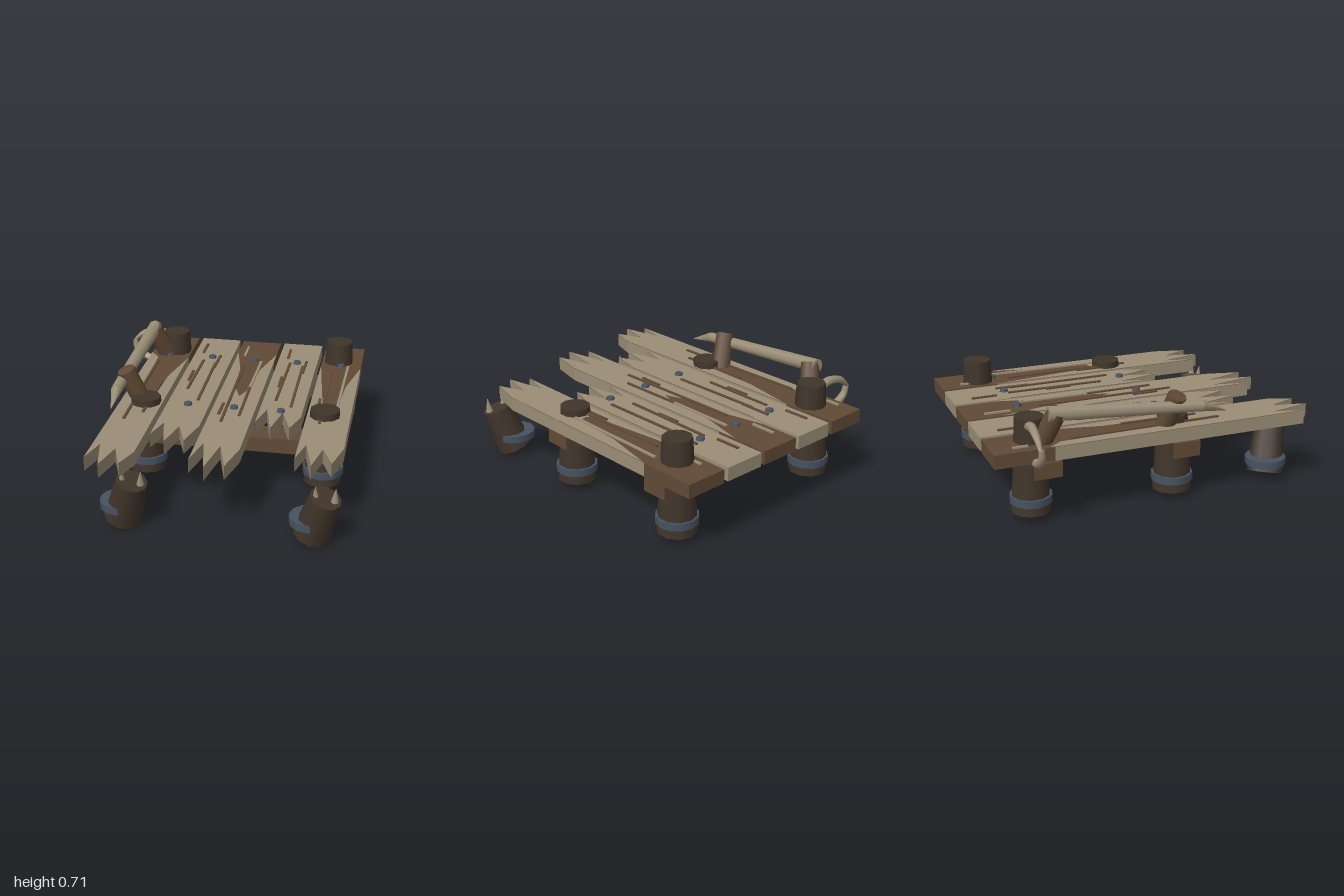
import * as THREE from 'three';

const mat = (name, color) => new THREE.MeshStandardMaterial({ name, color });

export function createModel() {
  const tan = mat('weathered wood', 0x9b8e76);
  const brown = mat('brown wood', 0x614a36);
  const dark = mat('dark timber', 0x40352a);
  const iron = mat('dull iron', 0x465361);
  const root = new THREE.Group();
  root.name = 'brokenDock';

  const add = (name, geo, material, x = 0, y = 0, z = 0) => {
    const m = new THREE.Mesh(geo, material);
    m.name = name;
    m.position.set(x, y, z);
    root.add(m);
    return m;
  };
  // tapered round timber between two points
  const limb = (name, a, b, ra, rb, material, sides = 10) => {
    const A = new THREE.Vector3(...a), B = new THREE.Vector3(...b);
    const d = B.clone().sub(A);
    const m = add(name, new THREE.CylinderGeometry(rb, ra, d.length(), sides), material);
    m.position.copy(A).add(B).multiplyScalar(0.5);
    m.quaternion.setFromUnitVectors(new THREE.Vector3(0, 1, 0), d.normalize());
    return m;
  };
  // flat outline drawn in x and z
  const outline = pts => new THREE.Shape(pts.map(([x, z]) => new THREE.Vector2(x, -z)));

  // Planks: left edge, splintered front end as [offset, z], brown wedge on the top
  const W = 0.26, BOT = 0.375, TOP = 0.457, SPLIT = -0.65;
  const toothX = [0, 0.045, 0.1, 0.145, 0.21, W];
  const planks = [
    { x: -0.63, ends: [0.915, 0.74, 0.985, 0.78, 0.95, 0.80],
      wedge: [[0, -0.68], [0.06, -0.6], [0.08, -0.1], [0.12, 0.2], [0.18, 0.22], [0.2, -0.3], [W, -0.62]] },
    { x: -0.34, ends: [0.565, 0.40, 0.64, 0.43, 0.61, 0.40] },
    { x: -0.055, ends: [0.835, 0.62, 0.915, 0.64, 0.88, 0.66],
      wedge: [[0, -0.78], [0.06, -0.5], [0.08, -0.2], [0.13, -0.06], [0.16, -0.15], [0.19, -0.5], [W, -0.78]] },
    { x: 0.23, ends: [0.29, 0.10, 0.36, 0.13, 0.34, 0.18] },
    { x: 0.52, ends: [0.72, 0.54, 0.79, 0.58, 0.75, 0.55],
      wedge: [[0, -0.65], [0.03, -0.4], [0.08, 0], [0.12, 0.02], [0.17, 0], [0.19, -0.32], [W, -0.65]] },
  ];
  planks.forEach(({ x, ends, wedge }, i) => {
    const front = ends.map((z, k) => [x + toothX[k], z]);
    const body = new THREE.ExtrudeGeometry(
      outline([[x, SPLIT], ...front, [x + W, SPLIT]]),
      { depth: TOP - BOT, bevelEnabled: false });
    body.rotateX(-Math.PI / 2);
    add('plank' + (i + 1), body, [brown, tan], 0, BOT, 0);

    // sound rear end of the plank
    const rear = wedge ? brown : tan;
    add('plankRear' + (i + 1), new THREE.BoxGeometry(W, TOP - BOT, 1 + SPLIT),
      [rear, rear, rear, brown, rear, rear], x + W / 2, (TOP + BOT) / 2, (SPLIT - 1) / 2);

    // bleached top face, cut around the brown wedge
    const back = wedge ? wedge.map(([o, z]) => [x + o, z]) : [[x, -1], [x + W, -1]];
    const face = new THREE.ShapeGeometry(outline([...front, ...back.reverse()]));
    face.rotateX(-Math.PI / 2);
    add('plankTop' + (i + 1), face, tan, 0, 0.46, 0).material.side;
  });
  tan.side = THREE.DoubleSide;

  // Raised splinters along the grain: x, z start, z end, material
  [
    [-0.575, -0.88, -0.79, tan], [-0.548, -0.53, 0.39, brown], [-0.45, -0.19, 0.28, brown],
    [-0.285, -0.88, -0.72, brown], [-0.26, -0.59, -0.11, brown], [-0.285, -0.4, -0.24, brown],
    [-0.163, -0.69, -0.48, brown], [-0.167, -0.55, 0.05, brown],
    [0, -0.88, -0.72, tan], [0.027, -0.53, 0.33, brown], [0.122, -0.63, -0.19, tan],
    [0.122, -0.19, 0.23, brown], [0, 0.07, 0.23, brown],
    [0.29, -0.88, -0.72, brown], [0.312, -0.64, -0.03, brown], [0.295, -0.4, -0.24, brown],
    [0.418, -0.69, -0.48, brown], [0.408, -0.6, 0.05, brown],
    [0.575, -0.88, -0.72, tan], [0.602, -0.56, 0.25, brown], [0.693, -0.65, 0.05, tan], [0.575, -0.1, 0.1, brown],
  ].forEach(([x, z0, z1, m], i) => {
    const s = add('splinter' + (i + 1), new THREE.BoxGeometry(0.016, 0.01, z1 - z0), m, x, 0.464, (z0 + z1) / 2);
    s.rotation.y = (i % 2 ? 1 : -1) * 0.012;
  });

  // Bolts
  for (const z of [-0.655, 0.12])
    for (const { x } of planks)
      add('bolt', new THREE.CylinderGeometry(0.024, 0.028, 0.02, 6), iron, x + 0.13, 0.466, z);

  // Cross beams
  for (const z of [-0.675, 0.175])
    add('crossBeam', new THREE.BoxGeometry(1.31, 0.095, 0.165), brown, 0.075, 0.2975, z);

  for (const x of [-0.47, 0.627]) {
    // Standing posts with iron bands
    limb('backPost', [x, 0.03, -0.75], [x, 0.6, -0.75], 0.118, 0.086, dark);
    limb('frontPost', [x, 0.03, 0.125], [x, 0.5, 0.125], 0.118, 0.09, dark);
    for (const z of [-0.75, 0.125, 0.755])
      add('ironBand', new THREE.CylinderGeometry(0.125, 0.125, 0.045, 12), iron, x, 0.108, z);

    // Snapped, leaning post with splintered tips
    limb('brokenPost', [x + 0.008, 0.02, 0.76], [x + 0.085, 0.285, 0.82], 0.112, 0.092, dark);
    for (const dx of [0.03, 0.135])
      limb('postSplinter', [x + dx, 0.27, 0.825], [x + dx - 0.005 + dx * 0.08, 0.355, 0.835], 0.024, 0.002, tan, 6);
  }

  // Handrail on two leaning stubs, with a broken pointed end
  limb('frontRailStub', [-0.52, 0.44, 0.05], [-0.6, 0.65, 0.095], 0.058, 0.056, brown);
  limb('backRailStub', [-0.52, 0.44, -0.7], [-0.6, 0.655, -0.625], 0.058, 0.056, brown);
  limb('handrail', [-0.603, 0.645, -0.68], [-0.624, 0.576, 0.24], 0.046, 0.034, tan, 8);
  limb('railPoint', [-0.624, 0.576, 0.24], [-0.615, 0.525, 0.4], 0.034, 0.002, tan, 6);

  // Torn rope hanging in two strands from the back post
  const rope = (name, pts, r, tip) => {
    const curve = new THREE.CatmullRomCurve3(pts.map(p => new THREE.Vector3(...p)));
    const geo = new THREE.TubeGeometry(curve, 16, r, 8, false);
    const p = geo.attributes.position, v = new THREE.Vector3();
    for (let i = 0; i < p.count; i++) {
      const t = Math.floor(i / 9) / 16, c = curve.getPointAt(t);
      v.fromBufferAttribute(p, i).sub(c).multiplyScalar(1 - (1 - tip) * t ** 3).add(c);
      p.setXYZ(i, v.x, v.y, v.z);
    }
    geo.computeVertexNormals();
    add(name, geo, tan);
  };
  rope('upperRope', [[-0.5, 0.55, -0.77], [-0.6, 0.58, -0.775], [-0.69, 0.565, -0.78], [-0.74, 0.535, -0.78], [-0.77, 0.505, -0.78]], 0.027, 0.4);
  rope('lowerRope', [[-0.5, 0.375, -0.76], [-0.63, 0.378, -0.76], [-0.71, 0.405, -0.765], [-0.76, 0.45, -0.77], [-0.772, 0.51, -0.775]], 0.028, 0.6);

  return root;
}
